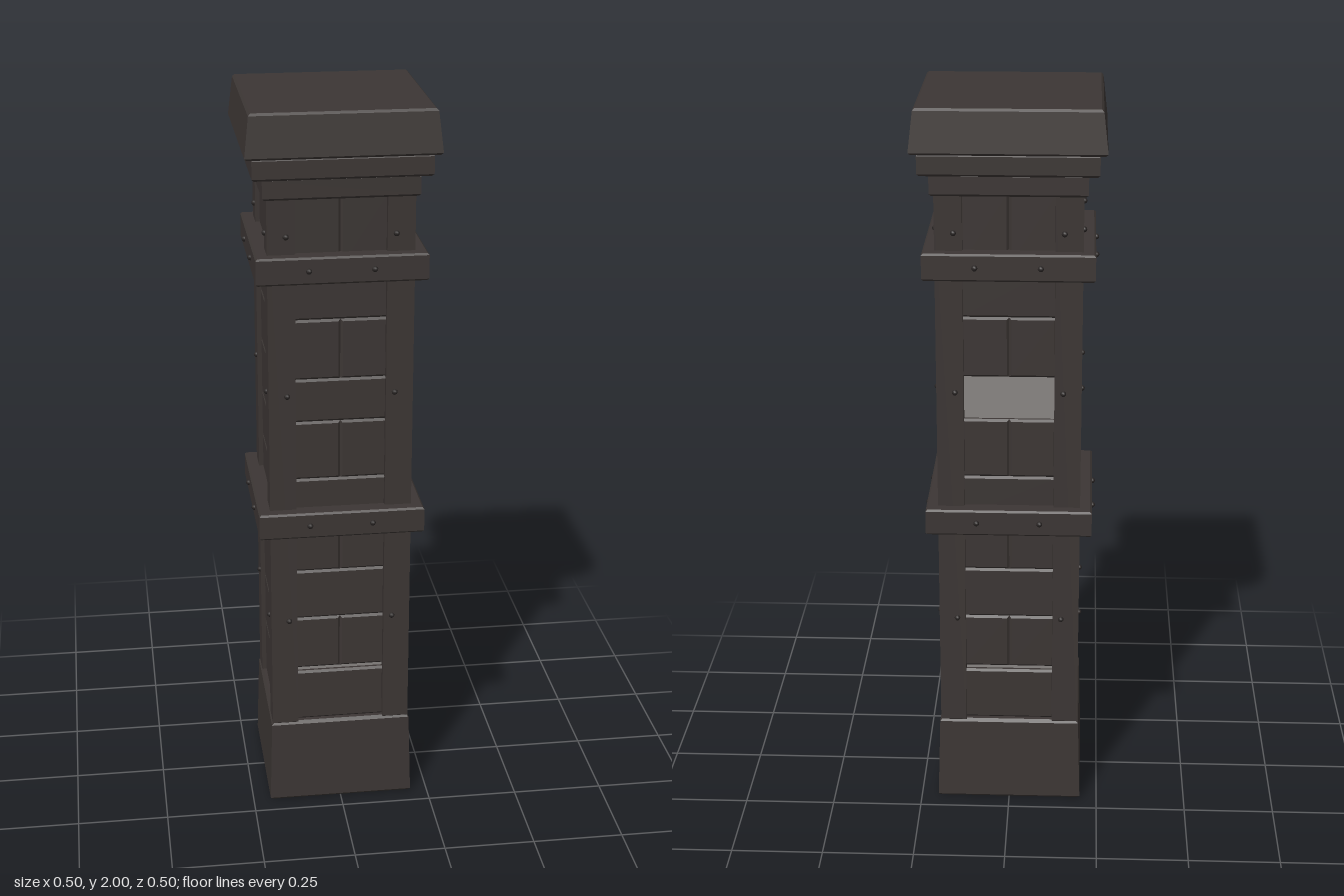
import * as THREE from 'three';

const stone = new THREE.MeshStandardMaterial({ color: 0x3c3634 });
stone.name = 'dark stone';
const mortar = new THREE.MeshStandardMaterial({ color: 0x8a8684 });
mortar.name = 'grey mortar';
const iron = new THREE.MeshStandardMaterial({ color: 0x2a2625 });
iron.name = 'dark iron';

function add(parent, name, geometry, material, x = 0, y = 0, z = 0) {
  const mesh = new THREE.Mesh(geometry, material);
  mesh.name = name;
  mesh.position.set(x, y, z);
  parent.add(mesh);
  return mesh;
}

// Square block swept from [half width, height] pairs, lowest first
function squareBlock(profile) {
  const first = profile[0], last = profile[profile.length - 1];
  const points = [[0, first[1]], ...profile, [0, last[1]]]
    .map(([half, y]) => new THREE.Vector2(half * Math.SQRT2, y));
  const geometry = new THREE.LatheGeometry(points, 4).rotateY(Math.PI / 4).toNonIndexed();
  geometry.computeVertexNormals();
  return geometry;
}

// Square block with chamfered top and bottom edges
function chamferedBlock(y0, y1, half0, half1, c) {
  return squareBlock([[half0 - c, y0], [half0, y0 + c], [half1, y1 - c], [half1 - c, y1]]);
}

// Rectangle facing +z with a chamfered front rim; its back is at z = 0
function chamferedSlab(w, h, depth, c) {
  const x = w / 2 - c, y = h / 2 - c;
  const shape = new THREE.Shape([[-x, -y], [x, -y], [x, y], [-x, y]]
    .map(([a, b]) => new THREE.Vector2(a, b)));
  return new THREE.ExtrudeGeometry(shape, {
    depth: depth - 2 * c, bevelEnabled: true, bevelThickness: c, bevelSize: c, bevelSegments: 1,
  }).translate(0, 0, c);
}

// Brick courses as [bottom, top, number of bricks]
const coursesA = [
  [0.25, 0.402, 1], [0.414, 0.57, 2], [0.57, 0.715, 1], [0.715, 0.87, 2], [0.87, 0.99, 1],
  [0.99, 1.155, 2], [1.155, 1.275, 1], [1.275, 1.44, 2], [1.44, 1.585, 1], [1.585, 1.775, 2],
];
const coursesB = [
  [0.25, 0.415, 2], [0.415, 0.565, 1], [0.565, 0.725, 2], [0.725, 0.87, 1], [0.87, 1.005, 2],
  [1.005, 1.135, 1], [1.135, 1.29, 2], [1.29, 1.435, 1], [1.435, 1.585, 2], [1.585, 1.775, 1],
];

export function createModel() {
  const model = new THREE.Group();
  model.name = 'stonePillar';

  // Foot, core and stepped cap
  add(model, 'base', chamferedBlock(0, 0.25, 0.202, 0.195, 0.008), stone);
  add(model, 'core', new THREE.BoxGeometry(0.334, 1.53, 0.334), mortar, 0, 1.01);
  add(model, 'lowerCapStep', chamferedBlock(1.768, 1.826, 0.203, 0.203, 0.006), stone);
  add(model, 'upperCapStep', chamferedBlock(1.826, 1.884, 0.231, 0.231, 0.006), stone);
  add(model, 'cap', chamferedBlock(1.884, 2, 0.25, 0.238, 0.006), stone);

  // Two bands around the shaft
  for (const y of [0.835, 1.55])
    add(model, 'band', chamferedBlock(y, y + 0.073, 0.224, 0.224, 0.005), stone);

  // Corner posts
  const post = chamferedSlab(0.072, 0.072, 1.53, 0.004).rotateX(-Math.PI / 2);
  for (const x of [-0.156, 0.156])
    for (const z of [-0.156, 0.156])
      add(model, 'cornerPost', post, stone, x, 0.245, z);

  // Bricks and rivets on each side
  const rivet = new THREE.SphereGeometry(0.008, 8, 6);
  const names = ['front', 'left', 'back', 'right'];
  names.forEach((name, side) => {
    const face = new THREE.Group();
    face.name = name + 'Face';
    face.rotation.y = side * Math.PI / 2;
    model.add(face);

    const courses = side % 2 ? coursesB : coursesA;
    courses.forEach(([y0, y1, count], row) => {
      if (side === 2 && row === 6) return; // fallen brick leaves the mortar bare
      const w = 0.25 / count;
      const brick = chamferedSlab(w, y1 - y0, 0.034, 0.006);
      for (let i = 0; i < count; i++)
        add(face, 'brick', brick, stone, (i - (count - 1) / 2) * w, (y0 + y1) / 2, 0.146);
    });

    for (const y of [0.57, 1.235, 1.67])
      for (const x of [-0.143, 0.143])
        add(face, 'postRivet', rivet, iron, x, y, 0.192);
    for (const y of [0.872, 1.587])
      for (const x of [-0.087, 0.083])
        add(face, 'bandRivet', rivet, iron, x, y, 0.225);
  });

  return model;
}
